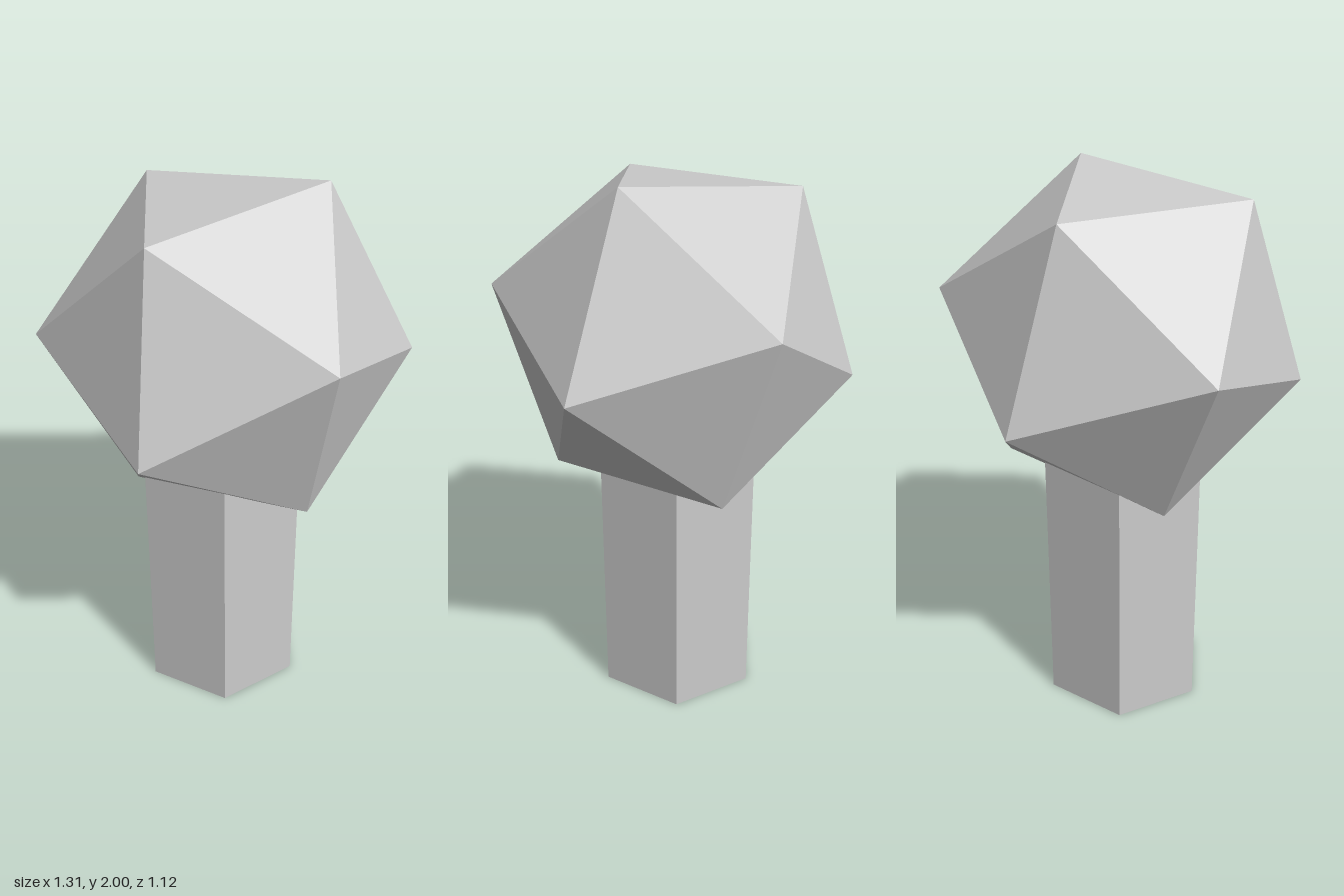
import * as THREE from 'three';

export function createModel() {
  const group = new THREE.Group();
  const material = new THREE.MeshStandardMaterial({ color: 0xcccccc, flatShading: true });

  // Hexagonal trunk, its top buried in the crown
  const height = 1.2;
  const trunk = new THREE.Mesh(new THREE.CylinderGeometry(0.319, 0.319, height, 6), material);
  trunk.name = 'trunk';
  trunk.position.set(-0.025, height / 2, 0);
  group.add(trunk);

  // Faceted crown, tilted sideways
  const crown = new THREE.Mesh(new THREE.IcosahedronGeometry(0.656, 0), material);
  crown.name = 'crown';
  crown.position.set(0, 1.435, 0);
  crown.rotation.z = THREE.MathUtils.degToRad(-62.2);
  group.add(crown);

  return group;
}
